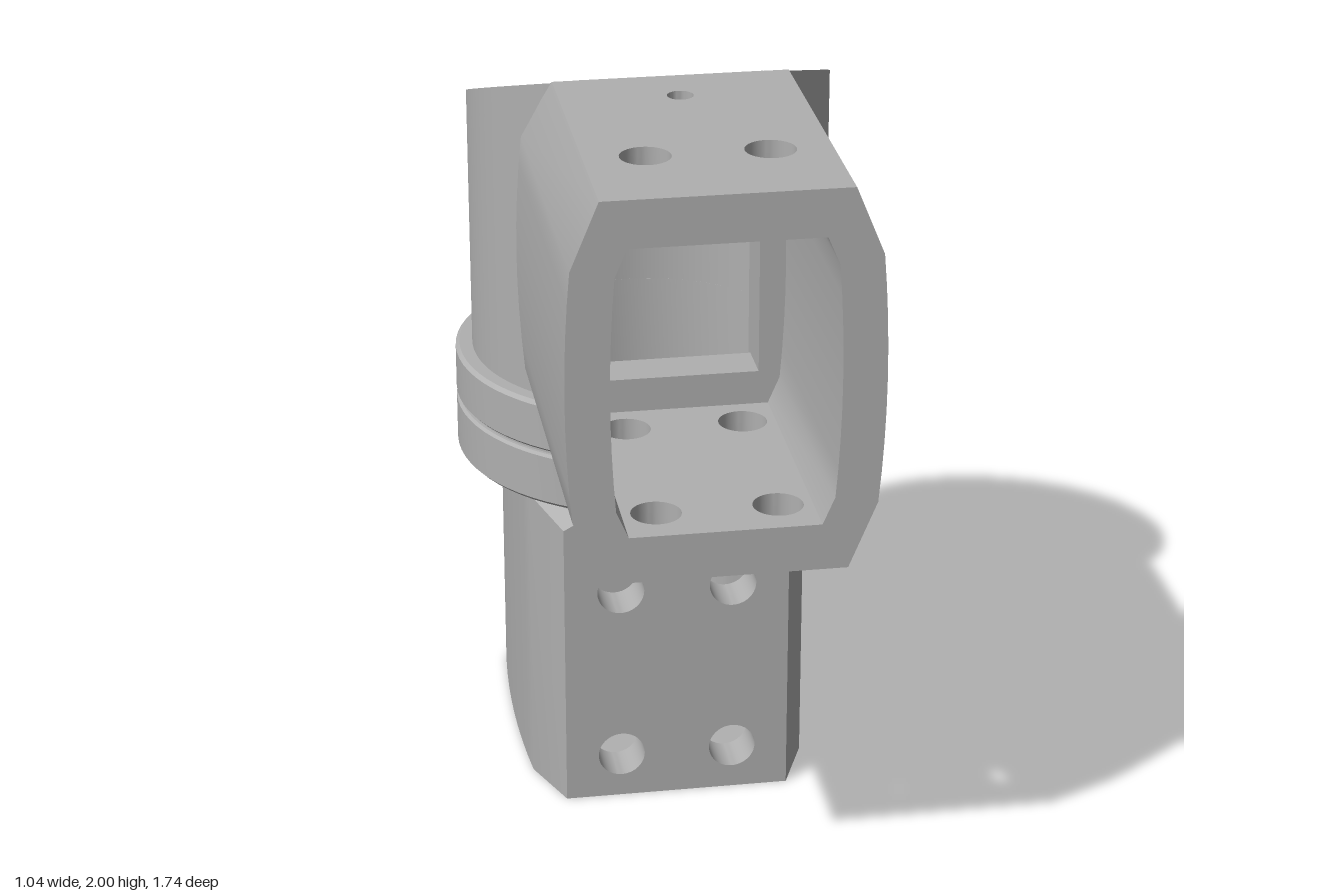
import * as THREE from 'three';
import { toCreasedNormals } from 'three/addons/utils/BufferGeometryUtils.js';

const AXIS_Z = -0.35;   // vertical axis of the round body
const R = 0.475, R_IN = 0.41;

// Height of the slanted lid at depth z
const lidY = (z) => Math.min(2, 2 - (0.04 - z) * 0.364);

function extrude(shape, depth, curveSegments = 24) {
  return new THREE.ExtrudeGeometry(shape, { depth, bevelEnabled: false, curveSegments });
}

// Move every vertex by a rule fn(vector)
function warp(geo, fn) {
  const p = geo.attributes.position, v = new THREE.Vector3();
  for (let i = 0; i < p.count; i++) {
    fn(v.fromBufferAttribute(p, i));
    p.setXYZ(i, v.x, v.y, v.z);
  }
  return geo;
}

function rect(Type, x0, y0, x1, y1) {
  const s = new Type();
  s.moveTo(x0, y0).lineTo(x1, y0).lineTo(x1, y1).lineTo(x0, y1).closePath();
  return s;
}

export function createModel() {
  const model = new THREE.Group();
  const grey = new THREE.MeshStandardMaterial({ color: 0xb0b0b0 });
  grey.name = 'grey';

  const add = (parent, name, geo) => {
    const mesh = new THREE.Mesh(toCreasedNormals(geo, 0.4), grey);
    mesh.name = name;
    parent.add(mesh);
    return mesh;
  };

  // Socket: mouth at local z = 0, running back along -z
  function socket(name, length, slabLength, topHoles, bottomHoles, endZ) {
    const g = new THREE.Group();
    g.name = name;

    // Bulging side walls with chamfered corners
    for (const s of [-1, 1]) {
      const c = new THREE.Shape();
      c.moveTo(s * 0.235, -0.49);
      c.lineTo(s * 0.30, -0.49);
      c.lineTo(s * 0.37, -0.32);
      c.quadraticCurveTo(s * 0.40, 0, s * 0.37, 0.32);
      c.lineTo(s * 0.30, 0.49);
      c.lineTo(s * 0.235, 0.49);
      c.lineTo(s * 0.235, 0.37);
      c.lineTo(s * 0.265, 0.30);
      c.quadraticCurveTo(s * 0.29, 0, s * 0.265, -0.30);
      c.lineTo(s * 0.235, -0.37);
      c.closePath();
      const geo = extrude(c, length, 8).translate(0, 0, -length);
      warp(geo, (v) => { if (v.z < -length / 2) v.z = endZ(v); });
      add(g, s > 0 ? 'leftWall' : 'rightWall', geo);
    }

    // Flat walls drilled with bolt holes: [x, distance from mouth, radius]
    const slab = (part, y, holes) => {
      const shape = rect(THREE.Shape, -0.235, 0, 0.235, slabLength);
      for (const [x, d, r] of holes) {
        const h = new THREE.Path();
        h.absarc(x, d, r, 0, Math.PI * 2, true);
        shape.holes.push(h);
      }
      add(g, part, extrude(shape, 0.12, 20).rotateX(-Math.PI / 2).translate(0, y, 0));
    };
    slab('topWall', 0.37, topHoles);
    slab('bottomWall', -0.49, bottomHoles);

    // Inner stop plate with a rectangular passage
    const stop = rect(THREE.Shape, -0.28, -0.38, 0.28, 0.38);
    stop.holes.push(rect(THREE.Path, -0.21, -0.28, 0.21, 0.33));
    add(g, 'stopPlate', extrude(stop, 0.12).translate(0, 0, -0.84));

    model.add(g);
    return g;
  }

  const pair = (d) => [-0.15, 0.15].map((x) => [x, d, 0.0625]);
  const fourHoles = [...pair(0.125), ...pair(0.615)];

  // Horizontal socket, its end trimmed to sit inside the round body
  const upper = socket('upperSocket', 0.9, 0.84, [...pair(0.28), [0, 0.69, 0.033]], fourHoles, (v) => {
    const r = v.y > 0.45 ? 0.485 : 0.465;
    const x = Math.max(Math.abs(v.x), 0.3);
    return AXIS_Z + Math.sqrt(r * r - x * x) - 0.87;
  });
  upper.position.set(0, 1.51, 0.87);

  // Vertical socket, corners under the collar cut down
  const lower = socket('lowerSocket', 0.84, 0.84, pair(0.28), fourHoles, (v) => {
    const corner = Math.abs(v.y) > 0.45 && Math.abs(v.x) > 0.28;
    return -0.84 + (corner ? (v.y > 0 ? 0.06 : 0.035) : 0);
  });
  lower.rotation.set(Math.PI / 2, 0, Math.PI);
  lower.position.set(0, 0, AXIS_Z);

  // Double collar with a groove between the two rings
  const profile = [
    [R_IN, 0.84], [0.51, 0.84], [0.52, 0.85], [0.52, 0.978], [0.513, 0.985], [0.505, 0.985],
    [0.505, 0.995], [0.513, 0.995], [0.52, 1.002], [0.52, 1.12], [0.51, 1.13], [R_IN, 1.13], [R_IN, 0.84],
  ].map(([r, y]) => new THREE.Vector2(r, y));
  add(model, 'collar', new THREE.LatheGeometry(profile, 72)).position.z = AXIS_Z;

  // Round hollow body, open at the front into the upper socket
  const gap = Math.asin(0.21 / R), gapIn = Math.asin(0.21 / R_IN), front = -Math.PI / 2, turn = Math.PI * 2;
  const wall = new THREE.Shape();
  wall.absarc(0, 0, R, front + gap, front - gap + turn, false);
  wall.absarc(0, 0, R_IN, front - gapIn + turn, front + gapIn, true);
  wall.closePath();
  const body = extrude(wall, 1, 64).rotateX(-Math.PI / 2).translate(0, 1.1, AXIS_Z);
  add(model, 'roundBody', warp(body, (v) => { if (v.y > 1.5) v.y = lidY(v.z) - 0.03; }));

  // Slanted lid, cut straight where it meets the upper socket
  const cut = Math.asin(0.39 / R);
  const disc = new THREE.Shape();
  disc.absarc(0, 0, R, -cut, Math.PI + cut, false);
  disc.closePath();
  const lid = extrude(disc, 0.08, 64).rotateX(-Math.PI / 2).translate(0, 0, AXIS_Z);
  add(model, 'slantedLid', warp(lid, (v) => { v.y += lidY(v.z) - 0.08; }));

  return model;
}
